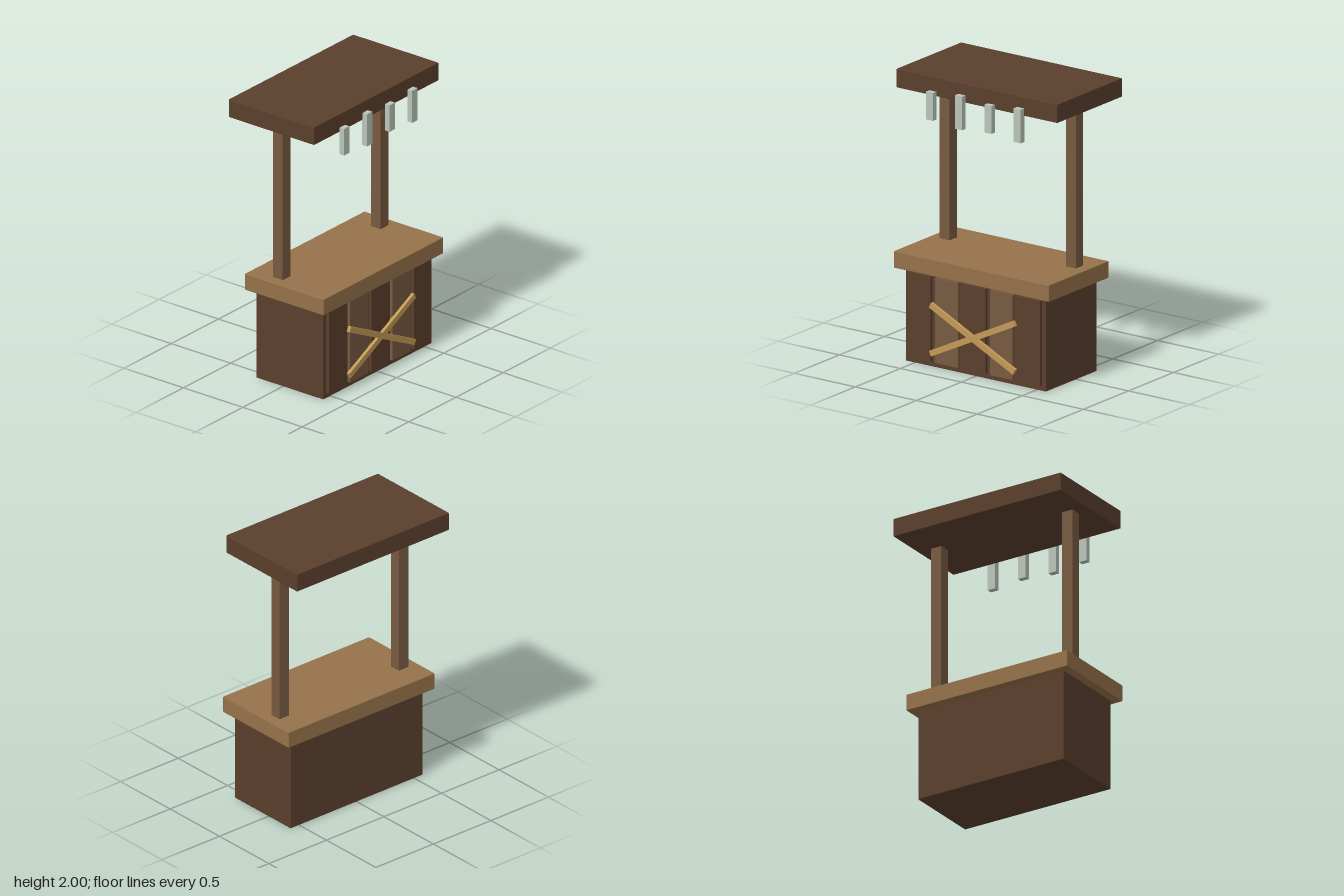
import * as THREE from 'three';
import { RoundedBoxGeometry } from 'three/addons/geometries/RoundedBoxGeometry.js';

const mat = (name, color) => {
  const m = new THREE.MeshStandardMaterial({ color });
  m.name = name;
  return m;
};

export function createModel() {
  const stall = new THREE.Group();
  stall.name = 'marketStall';

  const darkWood = mat('dark wood', 0x5b3f2d);
  const midWood = mat('mid wood', 0x785a40);
  const counterWood = mat('counter wood', 0x96724a);
  const paleWood = mat('pale wood', 0xc29a56);
  const greyGreen = mat('grey green', 0xbac5ba);

  // Box given by its min and max corners, with an optional small bevel
  function box(name, material, [x0, y0, z0], [x1, y1, z1], bevel = 0) {
    const size = [x1 - x0, y1 - y0, z1 - z0];
    const geometry = bevel
      ? new RoundedBoxGeometry(...size, 1, bevel)
      : new THREE.BoxGeometry(...size);
    const mesh = new THREE.Mesh(geometry, material);
    mesh.name = name;
    mesh.position.set((x0 + x1) / 2, (y0 + y1) / 2, (z0 + z1) / 2);
    stall.add(mesh);
    return mesh;
  }

  // Main body, counter and roof
  box('cabinet', darkWood, [-0.575, 0, -0.225], [0.575, 0.65, 0.34], 0.005);
  box('counterTop', counterWood, [-0.635, 0.643, -0.275], [0.635, 0.76, 0.39], 0.005);
  box('roof', darkWood, [-0.66, 1.87, -0.39], [0.66, 2, 0.33], 0.005);

  // Posts holding up the roof
  for (const side of [-1, 1]) {
    const x = side * 0.518;
    box(side > 0 ? 'leftPost' : 'rightPost', midWood,
      [x - 0.041, 0.755, -0.095], [x + 0.041, 1.875, -0.014]);
  }

  // Front planks in alternating tones
  for (let i = -2; i <= 2; i++) {
    const x = i * 0.225;
    box('frontPlank', i % 2 ? midWood : darkWood,
      [x - 0.094, 0.038, 0.335], [x + 0.094, 0.625, 0.362]);
  }

  // Crossed battens
  for (const side of [-1, 1]) {
    const z = side > 0 ? 0.384 : 0.385;
    const batten = box('crossBatten', paleWood, [-0.383, 0.25, 0.36], [0.383, 0.29, z]);
    batten.rotation.z = side * 0.455;
  }

  // Hanging goods along the roof's front edge, alternating in length
  for (let i = 0; i < 4; i++) {
    const x = -0.36 + i * 0.24;
    const half = i % 2 ? 0.116 : 0.096;
    box('hangingItem', greyGreen,
      [x - 0.029, 1.806 - half, 0.329], [x + 0.029, 1.806 + half, 0.368]);
  }

  return stall;
}
